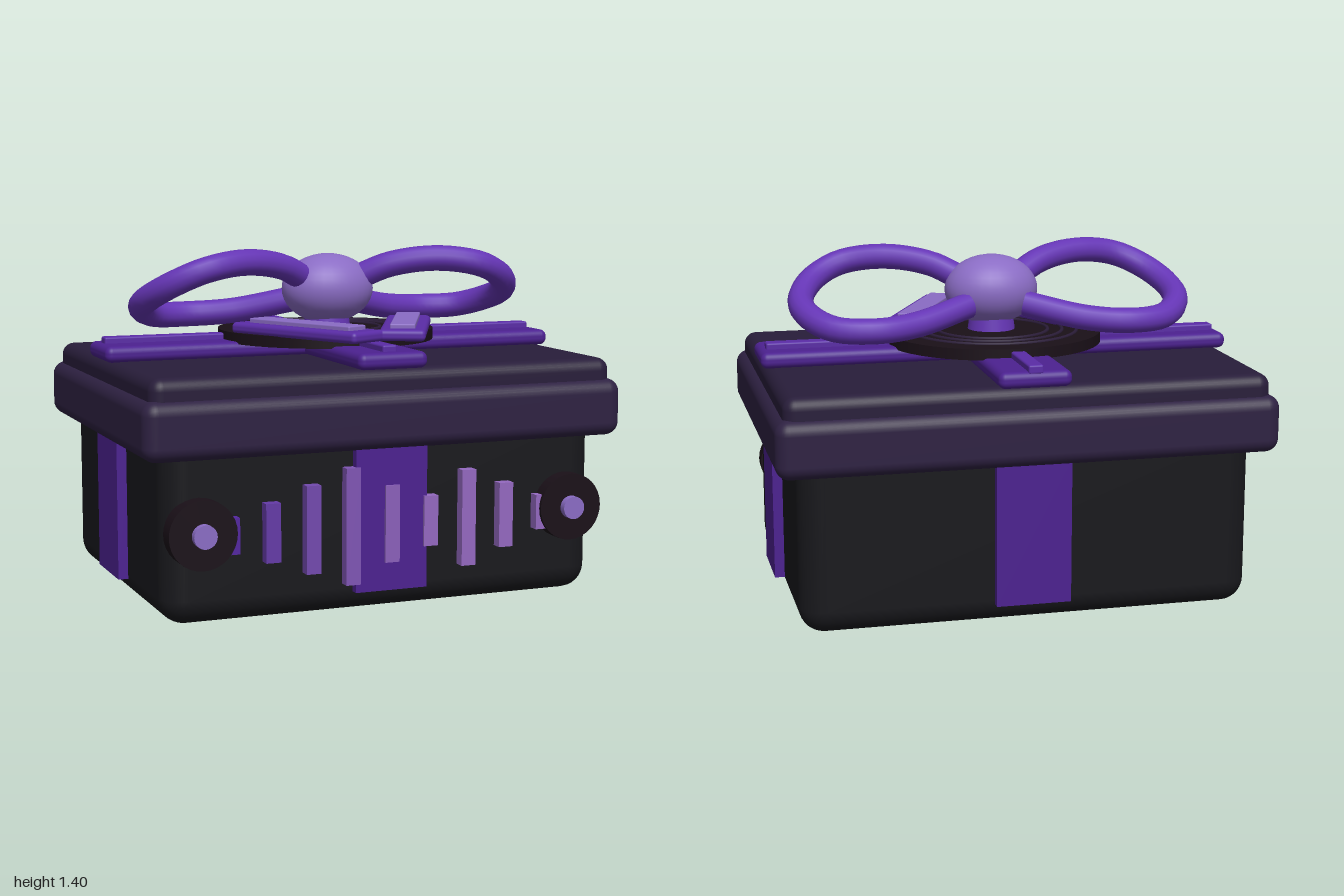
import * as THREE from 'three';
import { RoundedBoxGeometry } from 'three/addons/geometries/RoundedBoxGeometry.js';

const material = (color) => new THREE.MeshStandardMaterial({ color });
const BODY = material(0x18181c), LID = material(0x2e2142), LID_TOP = material(0x281d3a);
const RIBBON = material(0x4c2190), BOW = material(0x6535b5), TAIL = material(0x5a2ca6);
const LAVENDER = material(0x8a6cc4), DARK = material(0x1a1018), RING = material(0x2a1c38);
const ZC = -0.01; // depth centre of the box

export function createModel() {
  const model = new THREE.Group();

  const add = (name, geometry, mat, x = 0, y = 0, z = 0, parent = model) => {
    const mesh = new THREE.Mesh(geometry, mat);
    mesh.name = name;
    mesh.position.set(x, y, z);
    parent.add(mesh);
    return mesh;
  };
  // Rounded slab given by width, bottom and top height, and depth
  const slab = (name, mat, w, y0, y1, d, r, x = 0, z = ZC, parent = model) =>
    add(name, new RoundedBoxGeometry(w, y1 - y0, d, 4, r), mat, x, (y0 + y1) / 2, z, parent);

  // Box and lid
  slab('boxBody', BODY, 1.82, 0, 0.8, 1.35, 0.1);
  slab('lidRim', LID, 2, 0.645, 0.875, 1.495, 0.055);
  slab('lidTop', LID_TOP, 1.93, 0.78, 0.958, 1.425, 0.05);

  // Ribbon bands down the four sides
  const bandHeight = 0.58, bandY = 0.085 + bandHeight / 2;
  for (const s of [1, -1]) {
    add('sideBand', new THREE.BoxGeometry(0.06, bandHeight, 0.3), RIBBON, s * 0.92, bandY, ZC + 0.005);
    add(s > 0 ? 'frontBand' : 'backBand', new THREE.BoxGeometry(0.3, bandHeight, 0.06),
      RIBBON, 0, bandY, ZC + s * 0.68);
  }

  // Crossed ribbons on the lid with raised stripes
  slab('lidRibbonAcross', RIBBON, 1.96, 0.955, 1.02, 0.285, 0.028, 0, -0.012);
  slab('lidRibbonAlong', RIBBON, 0.29, 0.955, 1.02, 1.465, 0.028);
  slab('stripeAcross', TAIL, 1.9, 1.01, 1.045, 0.06, 0.008, 0, -0.037);
  slab('stripeAlong', TAIL, 0.06, 1.01, 1.045, 1.41, 0.008, 0, -0.03);

  // Turntable disc with raised grooves
  add('disc', new THREE.CylinderGeometry(0.45, 0.45, 0.045, 48), DARK, 0, 1.0325, ZC);
  for (const r of [0.35, 0.29, 0.23]) {
    const groove = add('discGroove', new THREE.TorusGeometry(r, 0.008, 8, 48), RING, 0, 1.055, ZC);
    groove.rotation.x = Math.PI / 2;
  }

  // Bow knot on its foot
  add('knotFoot', new THREE.CylinderGeometry(0.09, 0.1, 0.07, 32), BOW, 0, 1.08, 0.01);
  add('knot', new THREE.SphereGeometry(1, 32, 20), LAVENDER, 0, 1.22, 0.015).scale.set(0.195, 0.145, 0.16);

  // Bow loops: high in front, low at the back
  const loopPath = [
    [0.13, 1.27, 0.06], [0.24, 1.32, 0.12], [0.42, 1.345, 0.19], [0.6, 1.32, 0.23],
    [0.72, 1.265, 0.18], [0.79, 1.2, 0.06], [0.78, 1.155, -0.07], [0.69, 1.115, -0.19],
    [0.53, 1.108, -0.238], [0.35, 1.12, -0.19], [0.12, 1.17, -0.085],
  ];
  for (const s of [1, -1]) {
    const points = loopPath.map(([x, y, z]) => new THREE.Vector3(s * x, y, z));
    add(s > 0 ? 'leftBowLoop' : 'rightBowLoop',
      new THREE.TubeGeometry(new THREE.CatmullRomCurve3(points), 48, 0.053, 14), BOW);
  }

  // Bow tails spread in a V, each with a pale inlay
  for (const s of [1, -1]) {
    const tail = new THREE.Group();
    tail.name = s > 0 ? 'leftBowTail' : 'rightBowTail';
    tail.position.set(s * 0.215, 0, 0.335);
    tail.rotation.y = -s * 0.46;
    slab('tailRibbon', TAIL, 0.185, 1.052, 1.097, 0.67, 0.018, 0, 0, tail);
    slab('tailInlay', LAVENDER, 0.1, 1.085, 1.115, 0.54, 0.006, 0, 0, tail);
    model.add(tail);
  }

  // Row of level bars on the front
  const barHeights = [0.14, 0.23, 0.345, 0.46, 0.305, 0.2, 0.385, 0.26, 0.14];
  const from = new THREE.Color(0x5326a0), to = new THREE.Color(0x9468c0);
  barHeights.forEach((h, i) => {
    const mat = material(from.clone().lerp(to, Math.min(1, i / 5)));
    add('levelBar', new THREE.BoxGeometry(0.06, h, 0.07), mat, (i - 4) * 0.164, 0.35, 0.676);
  });

  // Round speaker knobs with pale caps
  for (const s of [1, -1]) {
    const knob = new THREE.Group();
    knob.name = s > 0 ? 'leftKnob' : 'rightKnob';
    knob.position.set(s * 0.775, 0.365, 0);
    const dial = add('dial', new THREE.CylinderGeometry(0.135, 0.135, 0.075, 32), DARK, 0, 0, 0.6875, knob);
    const cap = add('dialCap', new THREE.CylinderGeometry(0.046, 0.046, 0.06, 24), LAVENDER, 0, 0, 0.725, knob);
    dial.rotation.x = cap.rotation.x = Math.PI / 2;
    model.add(knob);
  }

  return model;
}
